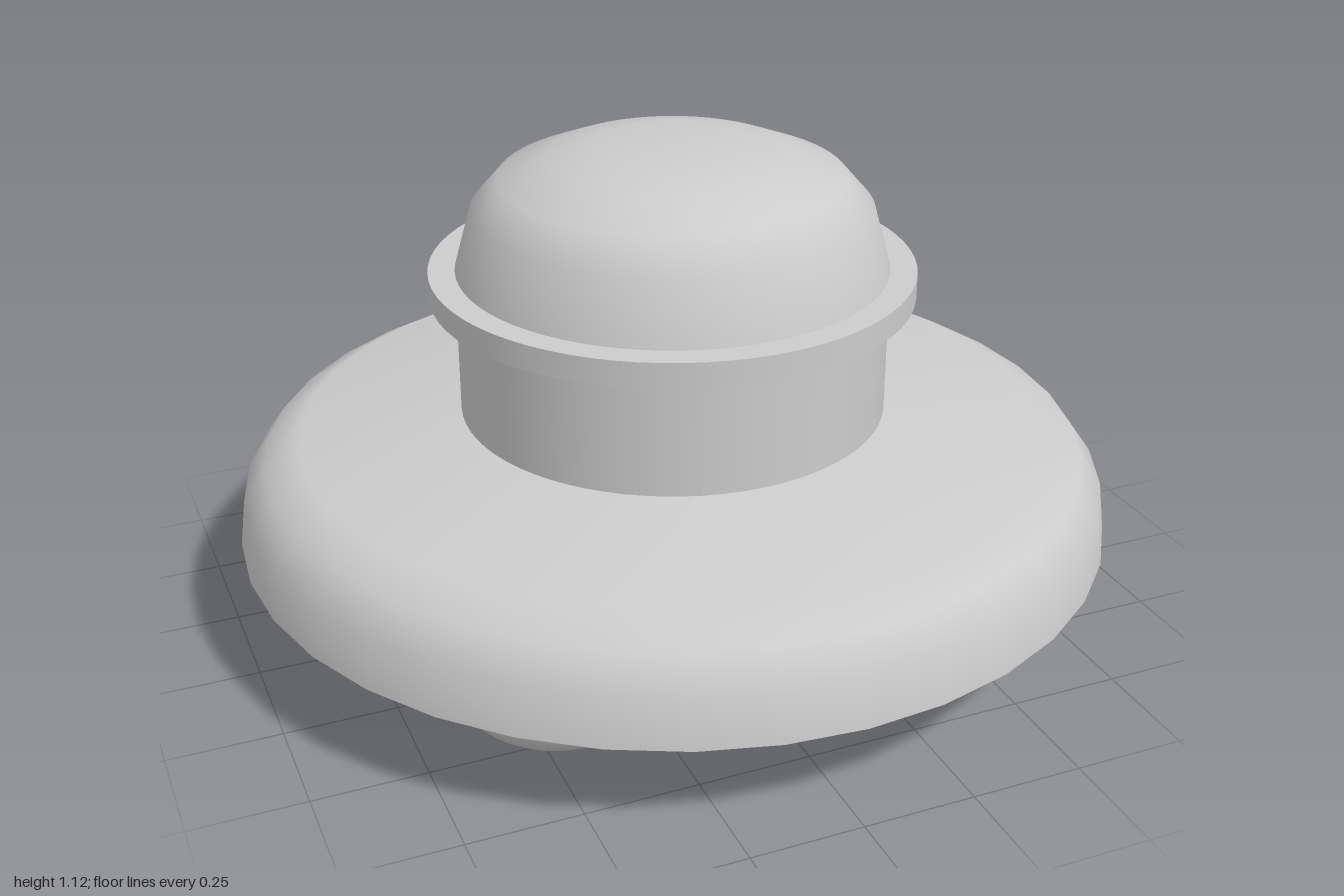
import * as THREE from 'three';

const material = new THREE.MeshStandardMaterial({ color: 0xcccccc });

// Each run of [radius, y] points is smooth; separate runs meet in a sharp edge.
// Points run from the underside outward and up.
function turned(name, segments, ...runs) {
  const part = new THREE.Group();
  part.name = name;
  runs.forEach((run, i) => {
    const points = run.map(([r, y]) => new THREE.Vector2(r, y));
    const mesh = new THREE.Mesh(new THREE.LatheGeometry(points, segments), material);
    mesh.name = `${name}Surface${i + 1}`;
    part.add(mesh);
  });
  return part;
}

// Lower half of a flattened sphere hanging from height y
function bowl(name, radius, depth, y) {
  const geometry = new THREE.SphereGeometry(1, 36, 10, 0, Math.PI * 2, Math.PI / 2, Math.PI / 2);
  geometry.scale(radius, depth, radius);
  const mesh = new THREE.Mesh(geometry, material);
  mesh.name = name;
  mesh.position.y = y;
  return mesh;
}

export function createModel() {
  const model = new THREE.Group();
  model.name = 'flyingSaucer';
  const base = 0.235;

  // Wide saucer hull with rounded shoulder and flat underside
  model.add(turned('hull', 36,
    [[0, base], [1, base]],
    [[1, base], [0.985, 0.345], [0.935, 0.415], [0.855, 0.459], [0.485, 0.505]]));

  // Cabin wall, rim and dome
  model.add(turned('cabinWall', 72, [[0.485, 0.5], [0.485, 0.8]]));
  model.add(turned('cabinRim', 72,
    [[0.48, 0.78], [0.545, 0.78]],
    [[0.545, 0.78], [0.545, 0.838]],
    [[0.545, 0.838], [0.48, 0.838]]));
  model.add(turned('dome', 72,
    [[0.485, 0.838], [0.447, 0.975], [0.385, 1.045], [0.275, 1.09], [0.16, 1.115], [0, 1.117]]));

  // Central belly and four landing pods
  model.add(bowl('belly', 0.44, base, base));
  for (const x of [1, -1]) {
    for (const z of [1, -1]) {
      const pod = bowl(`${z > 0 ? 'front' : 'back'}${x > 0 ? 'Left' : 'Right'}Pod`, 0.235, 0.155, base);
      pod.position.x = x * 0.475;
      pod.position.z = z * 0.54;
      model.add(pod);
    }
  }
  return model;
}
